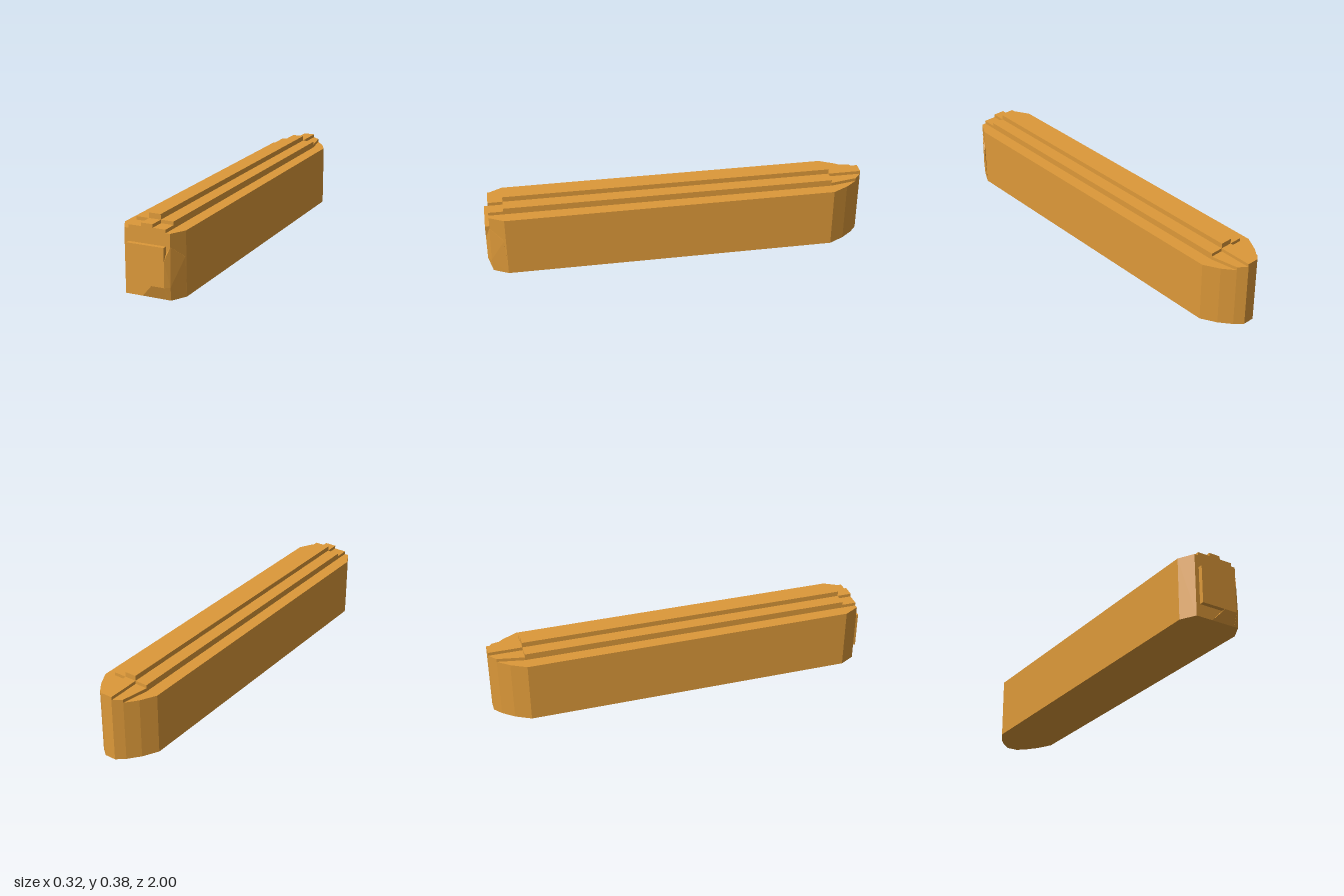
import * as THREE from 'three';
import { ConvexGeometry } from 'three/addons/geometries/ConvexGeometry.js';

const material = new THREE.MeshStandardMaterial({ color: 0xdd9939, flatShading: true });

function addMesh(group, name, geometry) {
  const mesh = new THREE.Mesh(geometry, material);
  mesh.name = name;
  group.add(mesh);
}

// Plan outline given as [x, z] points of the +x half, mirrored and raised from y0 to y1
function slab(half, y0, y1) {
  const mirrored = half.map(([x, z]) => [-x, z]).reverse();
  const shape = new THREE.Shape([...half, ...mirrored].map(([x, z]) => new THREE.Vector2(x, -z)));
  const geometry = new THREE.ExtrudeGeometry(shape, { depth: y1 - y0, bevelEnabled: false });
  return geometry.rotateX(-Math.PI / 2).translate(0, y0, 0);
}

const hull = (points) => new ConvexGeometry(points.map((p) => new THREE.Vector3(...p)));

export function createModel() {
  const group = new THREE.Group();
  group.name = 'railcar';

  // Body with a chamfered front and a tapered back
  addMesh(group, 'body', slab([
    [0.12, 0.977], [0.162, 0.9], [0.162, -0.825], [0.12, -0.905], [0.072, -0.965], [0.03, -1],
  ], 0, 0.324));

  // Stepped roof, lower at both ends
  addMesh(group, 'lowerRoof', slab([
    [0.098, 0.977], [0.098, -0.825], [0.072, -0.965], [0.03, -1],
  ], 0.324, 0.341));
  addMesh(group, 'middleRoof', slab([[0.098, 0.9], [0.098, -0.825]], 0.341, 0.358));
  addMesh(group, 'endRidge', slab([[0.031, 0.977], [0.031, -1]], 0.341, 0.358));
  addMesh(group, 'topRidge', slab([[0.031, 0.9], [0.031, -0.825]], 0.358, 0.385));

  // Raised front panel
  addMesh(group, 'frontPanel', slab([[0.098, 1], [0.098, 0.97]], 0.065, 0.26));

  // Sloped wedge below the panel, on the left half
  addMesh(group, 'lowerWedge', hull([
    [-0.03, 0, 0.977], [0.03, 0.065, 1], [0.098, 0.065, 1], [0.098, 0, 0.977],
    [-0.03, 0, 0.96], [0.03, 0.065, 0.96], [0.098, 0.065, 0.96], [0.098, 0, 0.96],
  ]));

  // Faceted fairing round the left front corner
  addMesh(group, 'cornerFairing', hull([
    [0.098, 0.195, 1], [0.098, 0.065, 1], [0.098, 0, 0.978],
    [0.121, 0.26, 0.978], [0.121, 0.065, 0.982], [0.121, 0, 0.977],
    [0.162, 0.2, 0.91], [0.162, 0, 0.9], [0.098, 0, 0.9], [0.098, 0.26, 0.95],
  ]));

  return group;
}
